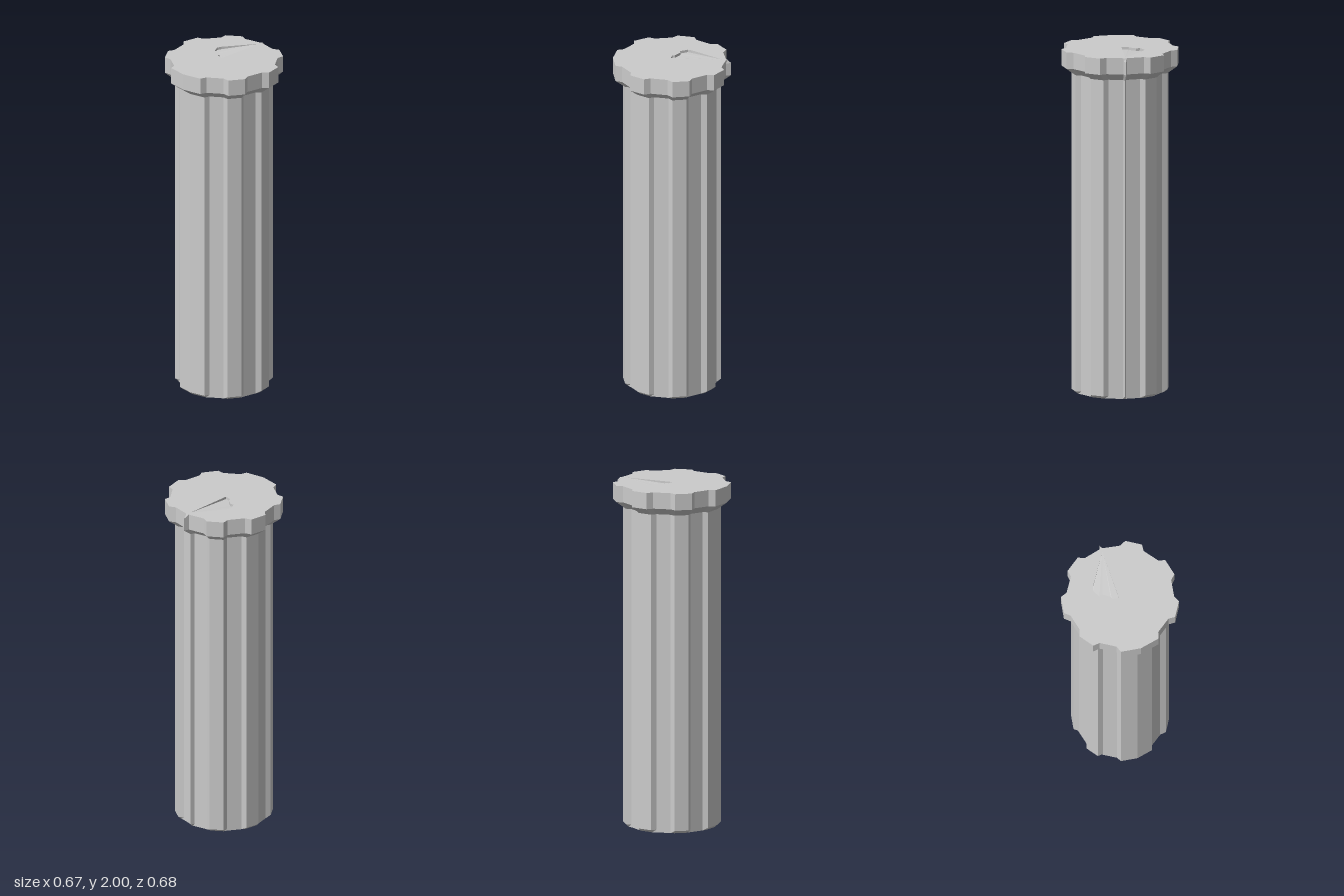
import * as THREE from 'three';

// right half of the ribbed head outline as [x, z], from front to back
const HALF = [
  [0.115, 0.318], [0.127, 0.28], [0.21, 0.225], [0.25, 0.228], [0.304, 0.146],
  [0.288, 0.11], [0.307, 0.011], [0.337, -0.017], [0.318, -0.115], [0.28, -0.127],
  [0.222, -0.21], [0.227, -0.25], [0.145, -0.305], [0.108, -0.288], [0.01, -0.308],
];
const OUTLINE = [
  [0, 0.338], ...HALF, [0, -0.338],
  ...HALF.map(([x, z]) => [-x, z]).reverse(),
];
const SHAFT = 0.83; // shaft section relative to the head section

// rim of the shallow fold in the top, beginning at its pointed end
const FOLD = [
  [0, -0.29], [-0.125, -0.11], [-0.135, -0.085], [-0.112, -0.04], [-0.09, -0.044],
  [-0.052, -0.015], [-0.05, 0], [-0.01, 0.008],
];
const FOLD_DEPTH = 0.015;

const scaled = (s) => OUTLINE.map(([x, z]) => [x * s, z * s]);
const lift = (ring, y) => ring.map(([x, z]) => [x, y, z]);

function fromTriangles(tris) {
  const g = new THREE.BufferGeometry();
  g.setAttribute('position', new THREE.Float32BufferAttribute(tris.flat(2), 3));
  g.computeVertexNormals();
  return g;
}

// skin between successive closed rings of equal length
function loft(rings) {
  const tris = [];
  for (let k = 0; k + 1 < rings.length; k++) {
    const lo = rings[k], hi = rings[k + 1];
    for (let i = 0; i < lo.length; i++) {
      const j = (i + 1) % lo.length;
      tris.push([lo[i], lo[j], hi[j]], [lo[i], hi[j], hi[i]]);
    }
  }
  return fromTriangles(tris);
}

export function createModel() {
  const group = new THREE.Group();
  const grey = new THREE.MeshStandardMaterial({ color: 0xcccccc, flatShading: true });
  const greyBoth = grey.clone();
  greyBoth.side = THREE.DoubleSide;
  const add = (name, geometry, material = grey) => {
    const mesh = new THREE.Mesh(geometry, material);
    mesh.name = name;
    group.add(mesh);
    return mesh;
  };

  const body = scaled(SHAFT);
  // the ribs fade into a rounder foot
  const foot = body.map(([x, z]) => {
    const k = Math.min(1, 0.262 / Math.hypot(x, z));
    return [x * k, z * k];
  });
  // the thin back rib is lower at the rim
  const rim = OUTLINE.map(([x, z]) => (x === 0 && z < 0 ? [0, -0.318] : [x, z]));

  // ribbed shaft with a small chamfer at the foot
  add('shaft', loft([lift(foot, 0), lift(body, 0.016), lift(body, 1.862)]));

  // flared underside and upright edge of the head
  add('flare', loft([lift(body, 1.862), lift(OUTLINE, 1.905)]));
  add('headEdge', loft([lift(OUTLINE, 1.905), lift(OUTLINE, 1.98), lift(rim, 2)]));

  // bottom cap
  const footShape = new THREE.Shape(foot.map(([x, z]) => new THREE.Vector2(x, z)));
  add('bottomCap', new THREE.ShapeGeometry(footShape).rotateX(Math.PI / 2));

  // top cap with an opening for the fold
  const flat = ([x, z]) => new THREE.Vector2(x, -z);
  const topShape = new THREE.Shape(rim.map(flat));
  topShape.holes.push(new THREE.Path(FOLD.map(flat)));
  add('topCap', new THREE.ShapeGeometry(topShape).rotateX(-Math.PI / 2)).position.y = 2;

  // sloping floor of the fold and the low walls around it
  const upper = lift(FOLD, 2);
  const lower = FOLD.map(([x, z], i) => [x, i === 0 ? 2 : 2 - FOLD_DEPTH, z]);
  const floor = [];
  for (let i = 1; i + 1 < lower.length; i++) floor.push([lower[0], lower[i], lower[i + 1]]);
  add('foldFloor', fromTriangles(floor), greyBoth);
  add('foldWalls', loft([lower, upper]), greyBoth);

  return group;
}
